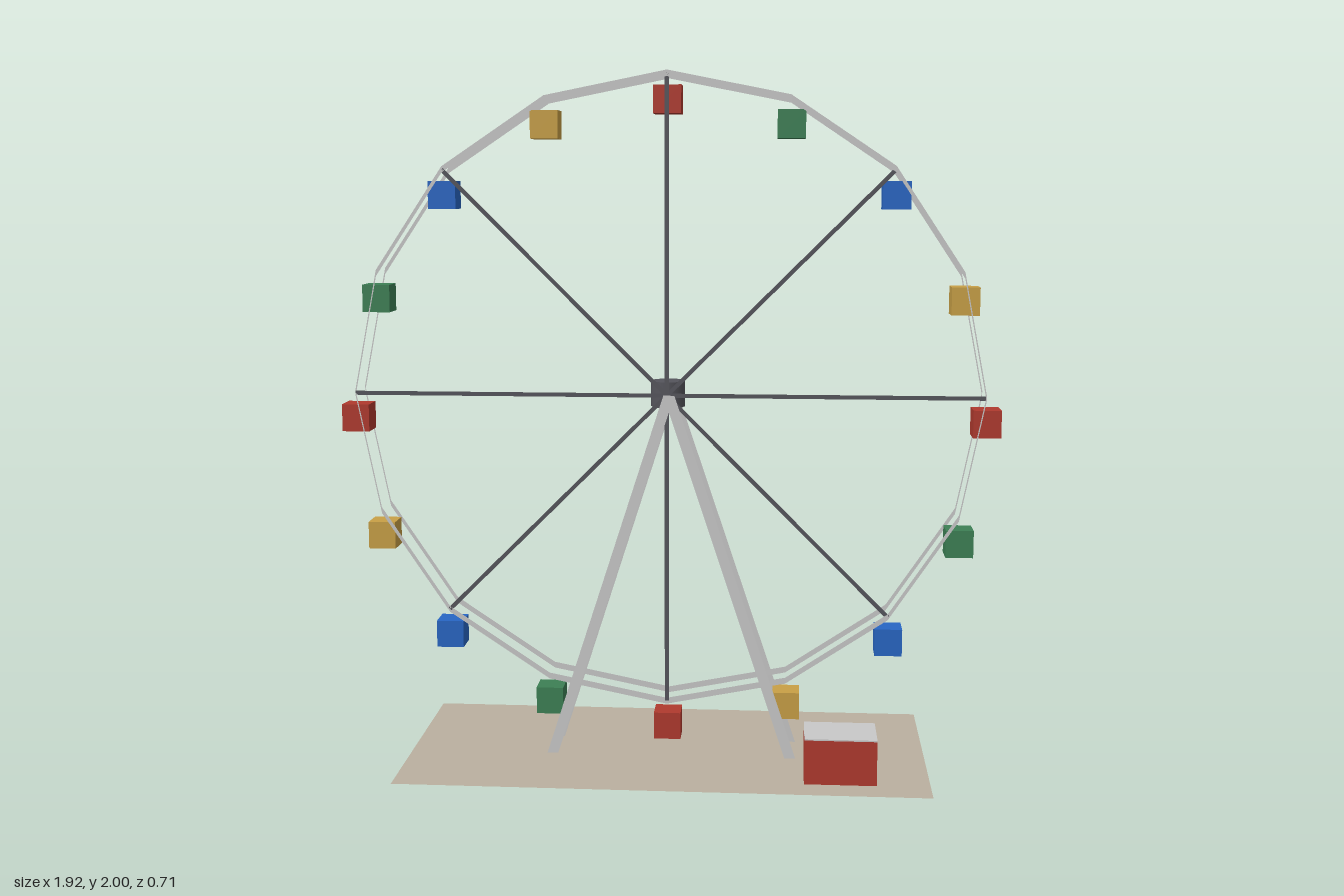
import * as THREE from 'three';

const mat = (name, color, side = THREE.FrontSide) => {
  const m = new THREE.MeshStandardMaterial({ color, side });
  m.name = name;
  return m;
};

export function createModel() {
  const group = new THREE.Group();
  const red = mat('red', 0xb03a2e);
  const green = mat('green', 0x3d8055);
  const blue = mat('blue', 0x2866c4);
  const yellow = mat('yellow', 0xc8a046);
  const sand = mat('sand', 0xbab0a0, THREE.DoubleSide);
  const steel = mat('light steel', 0xc8c8c8, THREE.DoubleSide);
  const dark = mat('dark steel', 0x55555c, THREE.DoubleSide);

  const add = (name, geometry, material, x = 0, y = 0, z = 0) => {
    const mesh = new THREE.Mesh(geometry, material);
    mesh.name = name;
    mesh.position.set(x, y, z);
    group.add(mesh);
    return mesh;
  };

  // Flat strip from a to b, widened by the half-width vector h
  const strip = (name, a, b, h, material) => {
    const pts = [a.clone().sub(h), b.clone().sub(h), b.clone().add(h), a.clone().add(h)];
    const geometry = new THREE.BufferGeometry().setFromPoints(pts);
    geometry.setIndex([0, 1, 2, 0, 2, 3]);
    geometry.computeVertexNormals();
    // keep the normal facing the front
    if (geometry.attributes.normal.getZ(0) < 0) {
      geometry.setIndex([0, 2, 1, 0, 3, 2]);
      geometry.computeVertexNormals();
    }
    return add(name, geometry, material);
  };

  const hubY = 1.077, rimR = 0.914, rimZ = 0.055, sides = 16;
  const V = (x, y, z) => new THREE.Vector3(x, y, z);
  const onWheel = (i, z, r = rimR) => {
    const a = (i / sides) * Math.PI * 2;
    return V(Math.sin(a) * r, hubY + Math.cos(a) * r, z);
  };

  // Two sixteen-sided rims
  for (const z of [rimZ, -rimZ]) {
    for (let i = 0; i < sides; i++) {
      strip('rim', onWheel(i, z), onWheel(i + 1, z), V(0, 0.009, 0), steel);
    }
  }

  // Eight spokes on the front rim
  for (let i = 0; i < sides; i += 2) {
    const a = (i / sides) * Math.PI * 2;
    const h = V(Math.cos(a), -Math.sin(a), 0).multiplyScalar(0.006);
    strip('spoke', V(0, hubY, rimZ), onWheel(i, rimZ), h, dark);
  }

  // Upright drum at the centre
  add('hub', new THREE.CylinderGeometry(0.05, 0.05, 0.075, 12), dark, 0, hubY, 0);

  // Cabins, in a repeating order of four colours
  const cabin = new THREE.BoxGeometry(0.08, 0.08, 0.08);
  const paints = [red, green, blue, yellow];
  for (let i = 0; i < sides; i++) {
    const p = onWheel(i, 0, 0.92);
    add('cabin', cabin, paints[i % 4], p.x, p.y - 0.077, 0);
  }

  // Four splayed support legs
  for (const s of [1, -1]) {
    for (const footX of [-0.34, 0.366]) {
      strip('leg', V(footX, 0, s * 0.073), V(0.006, hubY, s * 0.056), V(0.016, 0, 0), steel);
    }
  }

  // Ground slab
  add('base', new THREE.PlaneGeometry(1.525, 0.715).rotateX(-Math.PI / 2), sand);

  // Ticket booth with pale roof
  add('booth', new THREE.BoxGeometry(0.205, 0.129, 0.15), red, 0.508, 0.0655, 0.204);
  add('boothRoof', new THREE.BoxGeometry(0.205, 0.004, 0.15), steel, 0.508, 0.132, 0.204);

  return group;
}
